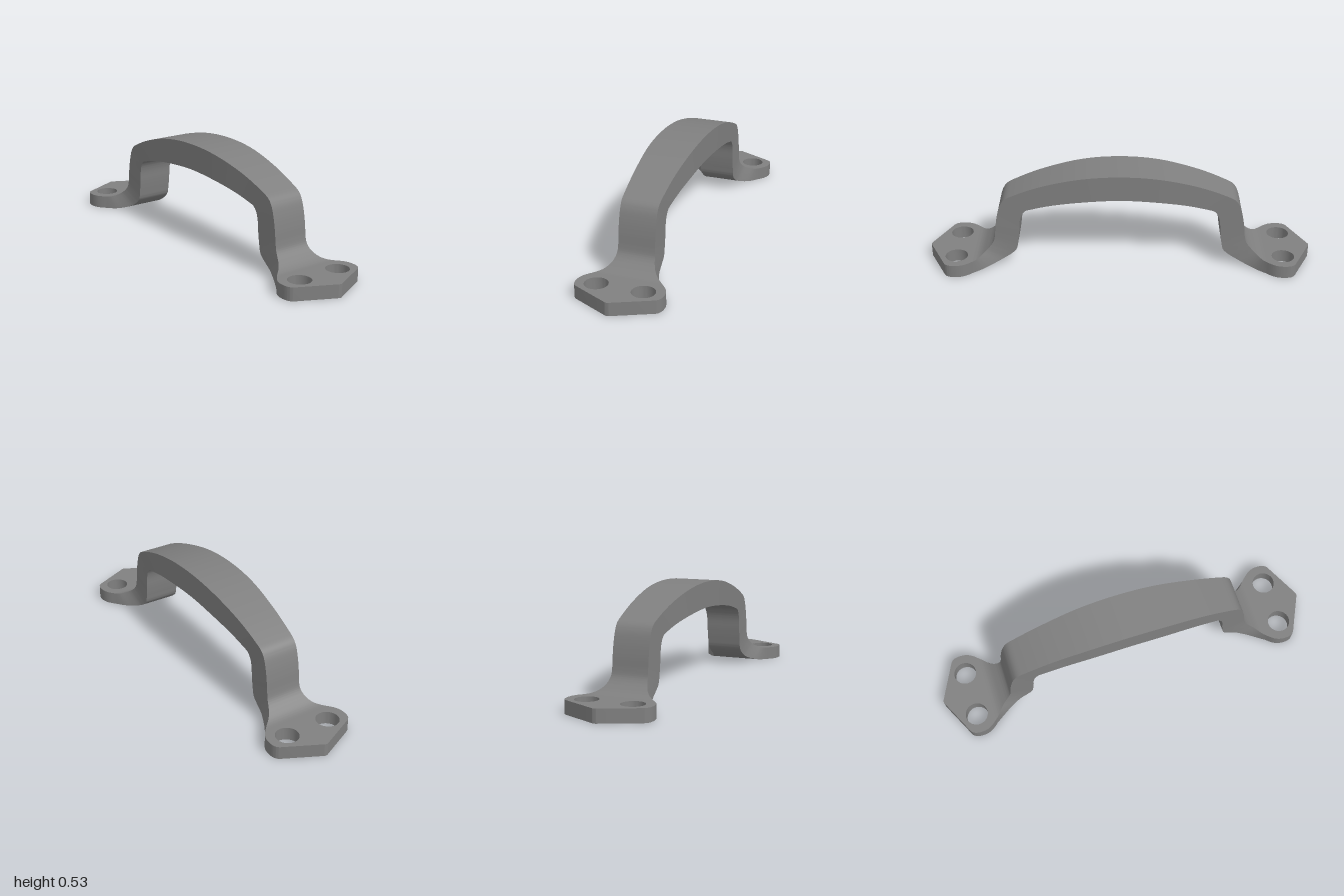
import * as THREE from 'three';
import { toCreasedNormals } from 'three/addons/utils/BufferGeometryUtils.js';

const material = new THREE.MeshStandardMaterial({ color: 0x808080 });
const THICK = 0.068; // foot plate thickness
const JOIN = 0.76;   // z where the grip meets a foot plate
const JOIN_W = 0.178; // half width there

// Half of the grip, middle to foot: outer half width, y, z, then inner half width, y, z
const STATIONS = [
  [0.118, 0.53, 0, 0.118, 0.396, 0],
  [0.115, 0.515, 0.2, 0.1155, 0.385, 0.18],
  [0.104, 0.467, 0.4, 0.107, 0.36, 0.35],
  [0.097, 0.413, 0.54, 0.101, 0.335, 0.45],
  [0.095, 0.386, 0.59, 0.099, 0.324, 0.483],
  [0.094, 0.355, 0.612, 0.098, 0.3, 0.503],
  [0.094, 0.305, 0.628, 0.097, 0.265, 0.514],
  [0.094, 0.24, 0.64, 0.0965, 0.2, 0.52],
  [0.094, 0.17, 0.648, 0.096, 0.14, 0.528],
  [0.096, 0.143, 0.655, 0.0955, 0.096, 0.538],
  [0.102, 0.118, 0.672, 0.095, 0.067, 0.566],
  [0.114, 0.097, 0.695, 0.099, 0.039, 0.61],
  [0.136, 0.079, 0.72, 0.12, 0.016, 0.665],
  [0.161, 0.07, 0.742, 0.148, 0.003, 0.715],
  [JOIN_W, THICK, JOIN, JOIN_W, 0, JOIN],
];

// Grip: rectangular sections swept along the outer and inner curves
function gripGeometry() {
  const edge = (i) => {
    const half = STATIONS.map((s) => new THREE.Vector3(s[i], s[i + 1], s[i + 2]));
    const back = half.slice(1).reverse().map((p) => new THREE.Vector3(p.x, p.y, -p.z));
    return new THREE.CatmullRomCurve3([...back, ...half]);
  };
  const outer = edge(0), inner = edge(3);
  const steps = (STATIONS.length - 1) * 2 * 6;
  const rings = [];
  for (let i = 0; i <= steps; i++) {
    const o = outer.getPoint(i / steps), n = inner.getPoint(i / steps);
    rings.push([[o.x, o.y, o.z], [-o.x, o.y, o.z], [-n.x, n.y, n.z], [n.x, n.y, n.z]]);
  }
  const pos = [];
  for (let i = 0; i < steps; i++) {
    for (let k = 0; k < 4; k++) {
      const j = (k + 1) % 4;
      const a = rings[i][k], b = rings[i][j], c = rings[i + 1][j], d = rings[i + 1][k];
      pos.push(...a, ...b, ...c, ...a, ...c, ...d);
    }
  }
  const geo = new THREE.BufferGeometry();
  geo.setAttribute('position', new THREE.Float32BufferAttribute(pos, 3));
  return toCreasedNormals(geo, 0.7);
}

// Foot plate: pointed outline with rounded shoulders and two screw holes
function footGeometry() {
  const s = new THREE.Shape();
  s.moveTo(-JOIN_W, JOIN);
  s.lineTo(JOIN_W, JOIN);
  s.bezierCurveTo(0.2, 0.785, 0.22, 0.805, 0.22, 0.85);
  s.bezierCurveTo(0.22, 0.88, 0.212, 0.897, 0.195, 0.906);
  s.lineTo(0.012, 0.996);
  s.quadraticCurveTo(0, 1.003, -0.012, 0.996);
  s.lineTo(-0.195, 0.906);
  s.bezierCurveTo(-0.212, 0.897, -0.22, 0.88, -0.22, 0.85);
  s.bezierCurveTo(-0.22, 0.805, -0.2, 0.785, -JOIN_W, JOIN);
  for (const x of [-0.118, 0.118]) {
    s.holes.push(new THREE.Path().absarc(x, 0.85, 0.058, 0, Math.PI * 2, true));
  }
  const geo = new THREE.ExtrudeGeometry(s, { depth: THICK, bevelEnabled: false, curveSegments: 20 });
  geo.rotateX(Math.PI / 2).translate(0, THICK, 0);
  return toCreasedNormals(geo, 0.6);
}

export function createModel() {
  const group = new THREE.Group();
  group.name = 'pullHandle';
  const add = (name, geo) => {
    const mesh = new THREE.Mesh(geo, material);
    mesh.name = name;
    group.add(mesh);
    return mesh;
  };
  add('grip', gripGeometry());
  const foot = footGeometry();
  add('frontFoot', foot);
  add('backFoot', foot).rotation.y = Math.PI;
  return group;
}
